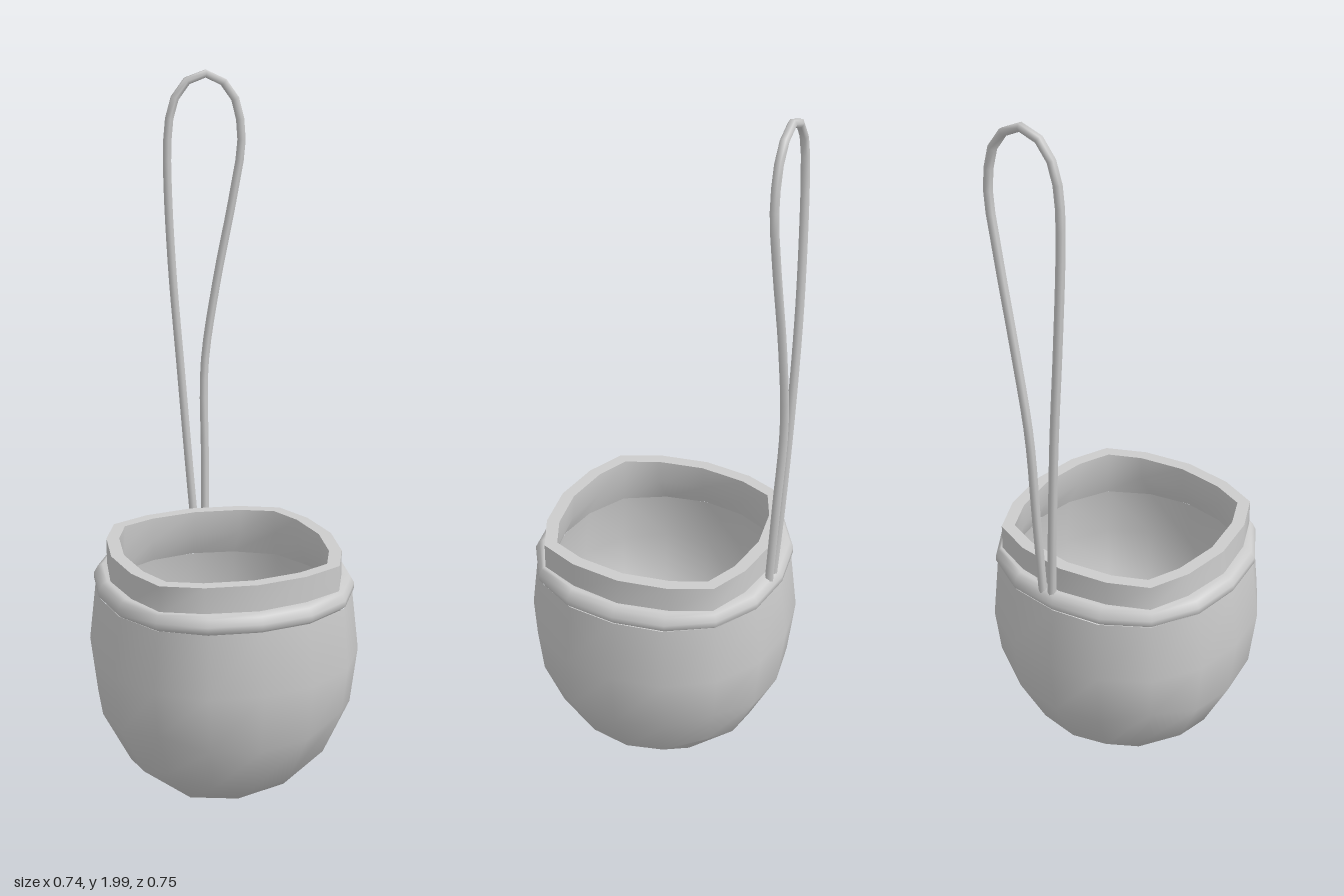
import * as THREE from 'three';
import { mergeVertices } from 'three/addons/utils/BufferGeometryUtils.js';

const CENTER_Y = 0.446;

function mat(side = THREE.FrontSide) {
  return new THREE.MeshStandardMaterial({ color: 0xcccccc, side });
}

function add(group, name, geometry, side) {
  const mesh = new THREE.Mesh(geometry, mat(side));
  mesh.name = name;
  group.add(mesh);
}

// Open cube-sphere bowl: the box is rounded, stretched in y and cut flat at the top
function bowl(scale, topY, inward) {
  let geo = new THREE.BoxGeometry(2, 2, 2, 4, 4, 4);
  geo.deleteAttribute('uv');
  geo.deleteAttribute('normal');
  geo = mergeVertices(geo);
  const pos = geo.attributes.position;
  const old = geo.index.array;
  const index = [];
  for (let i = 0; i < old.length; i += 3) {
    const [a, b, c] = [old[i], old[i + 1], old[i + 2]];
    if (Math.max(pos.getY(a), pos.getY(b), pos.getY(c)) > 0.6) continue;
    index.push(...(inward ? [a, c, b] : [a, b, c]));
  }
  const v = new THREE.Vector3();
  for (let i = 0; i < pos.count; i++) {
    v.fromBufferAttribute(pos, i);
    const isTop = v.y > 0.4;
    const bulge = Math.min(1, (Math.abs(v.x) + Math.abs(v.y) + Math.abs(v.z) - 1) * 1.1);
    v.set(...v.toArray().map((c) => Math.tan((c * Math.PI) / 4)));
    v.setLength((0.372 + 0.0125 * bulge) * scale);
    pos.setXYZ(i, v.x, isTop ? topY : CENTER_Y + v.y * 1.19, v.z);
  }
  geo.setIndex(index);
  geo.computeVertexNormals();
  return geo;
}

// Skin over 16-point rings; each ring is [axis radius, mid far, mid near, corner, y]
function loft(rings) {
  const points = [];
  const index = [];
  rings.forEach(([axis, far, near, corner, y], r) => {
    const quarter = [[axis, 0], [far, near], [corner, corner], [near, far]];
    for (let q = 0; q < 4; q++) {
      for (const [px, pz] of quarter) {
        let [x, z] = [px, pz];
        for (let k = 0; k < q; k++) [x, z] = [-z, x];
        points.push(x, y, z);
      }
    }
    if (r === 0) return;
    for (let i = 0; i < 16; i++) {
      const a = (r - 1) * 16 + i;
      const b = (r - 1) * 16 + ((i + 1) % 16);
      index.push(a, a + 16, b, b, a + 16, b + 16);
    }
  });
  const geo = new THREE.BufferGeometry();
  geo.setAttribute('position', new THREE.Float32BufferAttribute(points, 3));
  geo.setIndex(index);
  geo.computeVertexNormals();
  return geo;
}

export function createModel() {
  const group = new THREE.Group();

  // Pot shell
  add(group, 'potBody', bowl(1, 0.62, false));
  add(group, 'potInside', bowl(0.9, 0.6, true));

  // Rounded band below the neck
  add(group, 'band', loft([
    [0.345, 0.325, 0.14, 0.257, 0.618],
    [0.355, 0.335, 0.143, 0.264, 0.627],
    [0.355, 0.335, 0.143, 0.264, 0.643],
    [0.345, 0.325, 0.14, 0.258, 0.662],
    [0.33, 0.312, 0.138, 0.253, 0.668],
    [0.31, 0.29, 0.135, 0.245, 0.668],
  ]));

  // Squarish neck, flat lip and inner wall
  const outerLip = [0.318, 0.298, 0.14, 0.25, 0.74];
  const innerLip = [0.282, 0.263, 0.133, 0.224, 0.74];
  add(group, 'neck', loft([[0.322, 0.298, 0.14, 0.25, 0.66], outerLip]));
  add(group, 'lip', loft([outerLip, innerLip]));
  add(group, 'neckInside', loft([
    innerLip,
    [0.285, 0.265, 0.133, 0.226, 0.67],
    [0.316, 0.295, 0.122, 0.235, 0.6],
  ]));

  // Tall thin cord loop standing at the back
  const path = new THREE.CatmullRomCurve3([
    [0.016, 0.655, -0.332], [0.002, 0.85, -0.342], [-0.02, 1.16, -0.352],
    [-0.042, 1.45, -0.355], [-0.054, 1.7, -0.352], [-0.053, 1.82, -0.35],
    [-0.038, 1.91, -0.35], [0, 1.967, -0.35], [0.05, 1.988, -0.35],
    [0.1, 1.97, -0.35], [0.14, 1.922, -0.35], [0.161, 1.81, -0.35],
    [0.138, 1.65, -0.353], [0.09, 1.4, -0.36], [0.054, 1.16, -0.36],
    [0.05, 0.9, -0.346], [0.046, 0.655, -0.332],
  ].map((p) => new THREE.Vector3(...p)));
  add(group, 'cordLoop', new THREE.TubeGeometry(path, 48, 0.012, 6), THREE.DoubleSide);

  return group;
}
